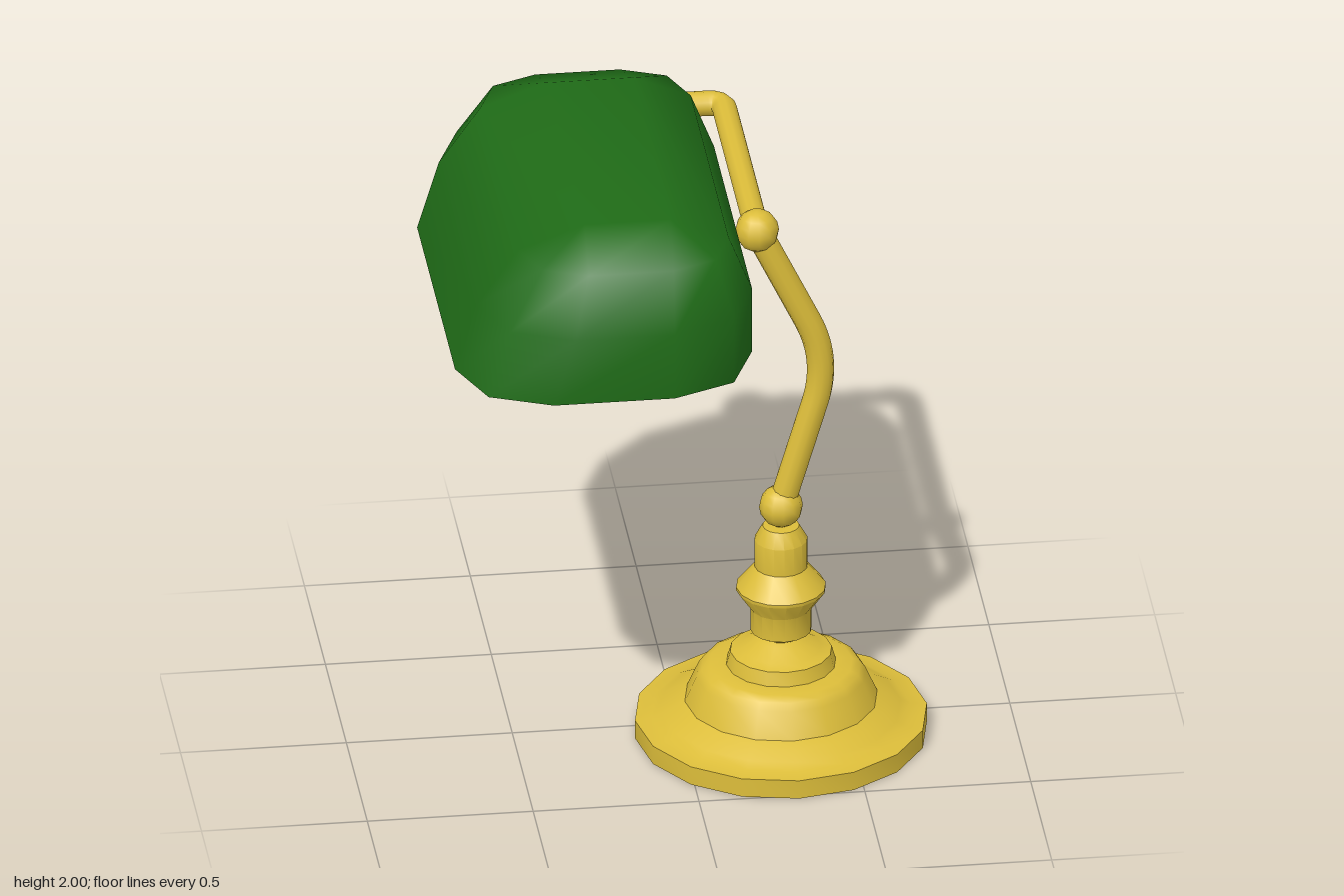
import * as THREE from 'three';
import { mergeVertices, toCreasedNormals } from 'three/addons/utils/BufferGeometryUtils.js';

const brass = new THREE.MeshStandardMaterial({ color: 0xdcbd3a });
const green = new THREE.MeshStandardMaterial({ color: 0x1f6b17, side: THREE.DoubleSide });
const grey = new THREE.MeshStandardMaterial({ color: 0xcccccc });

const V = (x, y, z) => new THREE.Vector3(x, y, z);

// Straight runs joined by rounded bends of the given size
function bentTube(points, bend, radius) {
  const path = new THREE.CurvePath();
  let from = points[0];
  for (let i = 1; i < points.length - 1; i++) {
    const p = points[i];
    const a = p.clone().add(points[i - 1].clone().sub(p).setLength(bend));
    const b = p.clone().add(points[i + 1].clone().sub(p).setLength(bend));
    path.add(new THREE.LineCurve3(from, a));
    path.add(new THREE.QuadraticBezierCurve3(a, p, b));
    from = b;
  }
  path.add(new THREE.LineCurve3(from, points[points.length - 1]));
  return new THREE.TubeGeometry(path, 64, radius, 12);
}

// Open shell: rounded rectangles stacked upward, closed by a flat top
function shadeGeometry() {
  // height, corner radius, left and right corner centres
  const levels = [
    [1.535, 0.265, -0.475, -0.11],
    [1.75, 0.265, -0.41, -0.11],
    [1.927, 0.19, -0.36, -0.105],
    [2.0, 0, -0.35, -0.09],
  ];
  const front = 0.535, back = -0.37, steps = 2, n = 4 * (steps + 1);
  const pos = [], index = [];
  for (const [y, r, left, right] of levels) {
    const corners = [[right, front], [left, front], [left, back], [right, back]];
    corners.forEach(([cx, cz], c) => {
      for (let s = 0; s <= steps; s++) {
        const t = (c + s / steps) * Math.PI / 2;
        pos.push(cx + r * Math.cos(t), y, cz + r * Math.sin(t));
      }
    });
  }
  for (let j = 0; j < levels.length - 1; j++) {
    for (let i = 0; i < n; i++) {
      const a = j * n + i, c = j * n + (i + 1) % n;
      index.push(a, a + n, c, c, a + n, c + n);
    }
  }
  const top = (levels.length - 1) * n, k = steps + 1;
  index.push(top, top + 2 * k, top + k, top, top + 3 * k, top + 2 * k);
  const g = new THREE.BufferGeometry();
  g.setAttribute('position', new THREE.Float32BufferAttribute(pos, 3));
  g.setIndex(index);
  const merged = mergeVertices(g, 1e-4);
  merged.computeVertexNormals();
  return merged;
}

export function createModel() {
  const lamp = new THREE.Group();
  lamp.name = 'deskLamp';
  const add = (name, geometry, material, x = 0, y = 0, z = 0) => {
    const mesh = new THREE.Mesh(geometry, material);
    mesh.name = name;
    mesh.position.set(x, y, z);
    lamp.add(mesh);
    return mesh;
  };
  const lathe = (profile) => toCreasedNormals(
    new THREE.LatheGeometry(profile.map(([r, y]) => new THREE.Vector2(r, y)), 16), 0.6);

  // Stepped foot and turned column
  add('base', lathe([
    [0, 0], [0.44, 0], [0.44, 0.06], [0.39, 0.064], [0.36, 0.08], [0.32, 0.102],
    [0.29, 0.115], [0.255, 0.195], [0.24, 0.217], [0.215, 0.23], [0.165, 0.232],
    [0.153, 0.275], [0.12, 0.285], [0.075, 0.315], [0.05, 0.325],
  ]), brass, 0.3, 0, 0.08);
  add('column', lathe([
    [0.05, 0.32], [0.092, 0.345], [0.092, 0.42], [0.135, 0.482], [0.135, 0.492],
    [0.085, 0.555], [0.08, 0.56], [0.08, 0.65], [0.055, 0.695], [0, 0.7],
  ]), brass, 0.3, 0, 0.08);

  // Joints
  const ball = new THREE.SphereGeometry(0.066, 12, 8);
  add('lowerJoint', ball, brass, 0.3, 0.76, 0.08);
  add('upperJoint', ball, brass, 0.228, 1.7, 0.08);
  add('shadeJoint', ball, brass, -0.26, 1.7, -0.735);

  // Bent upright and the arm that runs behind the shade
  add('upright', bentTube([V(0.3, 0.76, 0.08), V(0.445, 1.25, 0.08), V(0.228, 1.7, 0.08)], 0.15, 0.041), brass);
  add('arm', bentTube([V(0.228, 1.7, 0.08), V(0.228, 1.7, -0.735), V(-0.26, 1.7, -0.735)], 0.05, 0.038), brass);

  // Flared mount between joint and shade
  const mount = add('shadeMount', new THREE.CylinderGeometry(0.062, 0.036, 0.08, 12), brass, -0.26, 1.7, -0.665);
  mount.rotation.x = Math.PI / 2;

  add('shade', shadeGeometry(), green);

  // Tube bulb with a socket at each end
  const bulb = add('bulb', new THREE.CylinderGeometry(0.042, 0.042, 1.3, 12), grey, -0.26, 1.68, 0.08);
  bulb.rotation.x = Math.PI / 2;
  for (const [name, z] of [['frontSocket', 0.73], ['backSocket', -0.57]]) {
    const socket = add(name, new THREE.CylinderGeometry(0.055, 0.055, 0.08, 12), grey, -0.26, 1.68, z);
    socket.rotation.x = Math.PI / 2;
  }
  return lamp;
}
